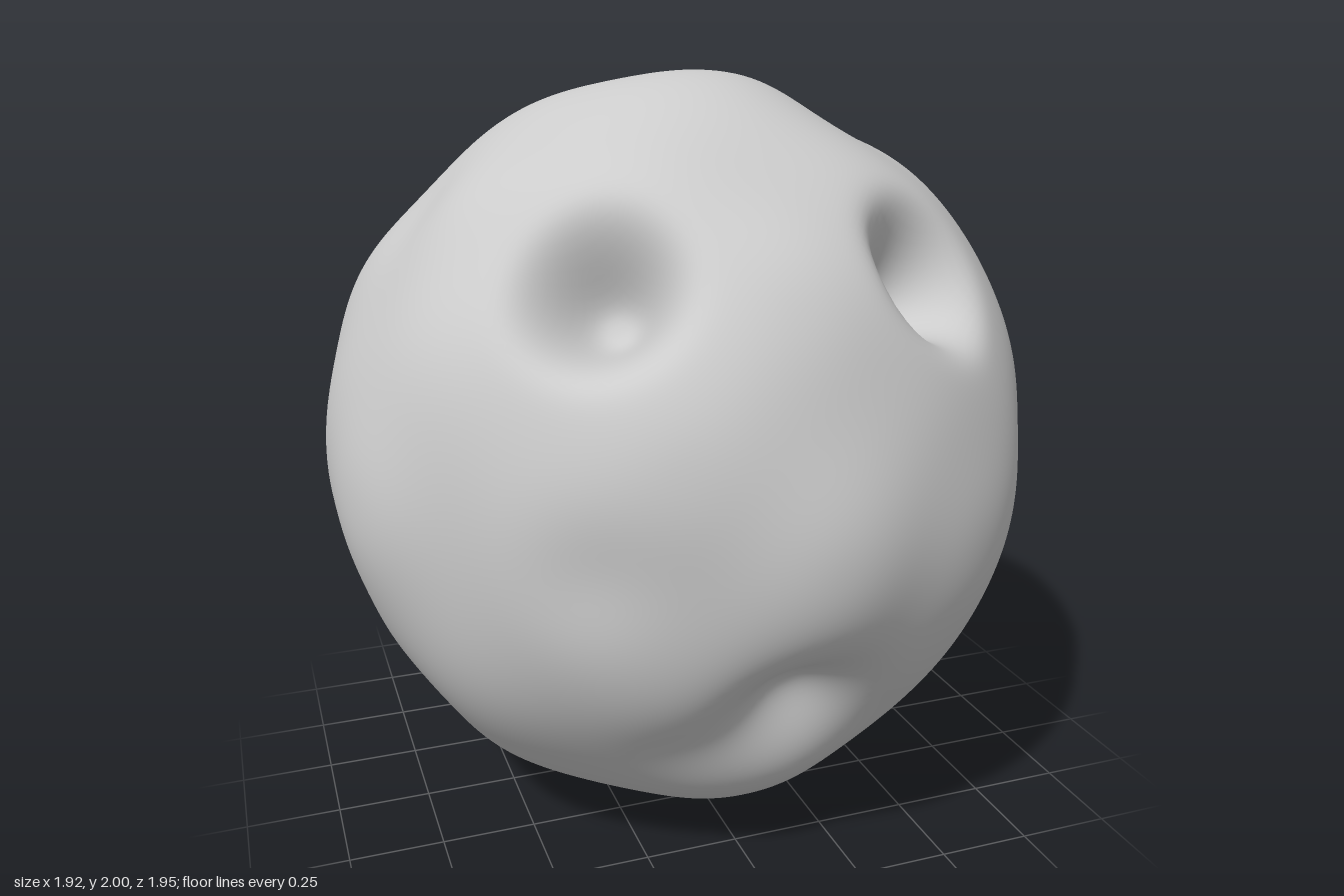
import * as THREE from 'three';
import { mergeVertices } from 'three/addons/utils/BufferGeometryUtils.js';

// Bell-shaped change of radius around a direction
const bell = (x, y, z, height, width, power) => (
  { dir: new THREE.Vector3(x, y, z).normalize(), height, width, power });
const lump = (x, y, z) => bell(x, y, z, 0.02, 0.23, 2.5);
const dip = (x, y, z) => bell(x, y, z, -0.022, 0.16, 2);

const bells = [
  // eye sockets and mouth
  ...[-0.375, 0.415].map((x) => bell(x, 0.53, 0.6, -0.22, 0.165, 3)),
  bell(0.04, -0.47, 0.82, -0.125, 0.18, 2.2),
  // crown and underside
  lump(0.12, 1, 0), lump(-0.25, 0.93, 0.1), lump(0.62, 0.76, 0), dip(-0.66, 0.66, 0), dip(0.43, 0.85, 0),
  lump(0, -0.99, 0.15), lump(-0.55, -0.83, 0), lump(0.38, -0.92, 0),
  // sides
  dip(-0.92, -0.28, 0), lump(-0.93, 0, 0.3), dip(0.8, -0.53, 0), lump(0.92, -0.2, -0.1), lump(0.8, 0.5, 0.1),
  // brow, nose, cheeks and chin
  lump(0, 0.52, 0.82), lump(0.05, -0.05, 0.96), dip(-0.5, -0.05, 0.82), lump(-0.3, 0.2, 0.9),
  dip(0.2, -0.58, 0.75), dip(-0.2, -0.58, 0.75), lump(0, -0.8, 0.58), lump(0.5, -0.1, 0.8),
  // back
  dip(0, 0.6, -0.76), dip(0.6, 0.55, -0.5), lump(-0.4, 0.45, -0.75), dip(-0.55, -0.1, -0.75),
  lump(0, 0.1, -0.95), lump(0, -0.5, -0.8), dip(0.4, -0.1, -0.85), lump(-0.65, -0.45, -0.55),
];

// Distance from the centre to the skin in direction n
function radiusAt(n) {
  let r = 0.95 + 0.03 * n.y * n.y;
  r += 0.013 * Math.sin(7 * n.x + 1) * Math.sin(6 * n.y + 2) * Math.sin(7 * n.z + 0.5);
  r += 0.005 * Math.sin(8 * n.x + 5 * n.y) * Math.sin(9 * n.z - 4 * n.y);
  for (const b of bells) {
    r += b.height * Math.exp(-Math.pow(n.angleTo(b.dir) / b.width, b.power));
  }
  return r;
}

export function createModel() {
  const group = new THREE.Group();
  group.name = 'lumpyHead';

  // Evenly divided ball with shared vertices, pushed in and out
  let geometry = new THREE.IcosahedronGeometry(1, 50);
  geometry.deleteAttribute('uv');
  geometry.deleteAttribute('normal');
  geometry = mergeVertices(geometry, 1e-4);
  const position = geometry.attributes.position;
  const n = new THREE.Vector3();
  for (let i = 0; i < position.count; i++) {
    n.fromBufferAttribute(position, i).normalize();
    n.multiplyScalar(radiusAt(n));
    position.setXYZ(i, n.x, n.y, n.z);
  }
  geometry.computeVertexNormals();

  const head = new THREE.Mesh(geometry, new THREE.MeshStandardMaterial({ color: 0xcccccc }));
  head.name = 'head';
  head.position.y = 1;
  group.add(head);
  return group;
}
